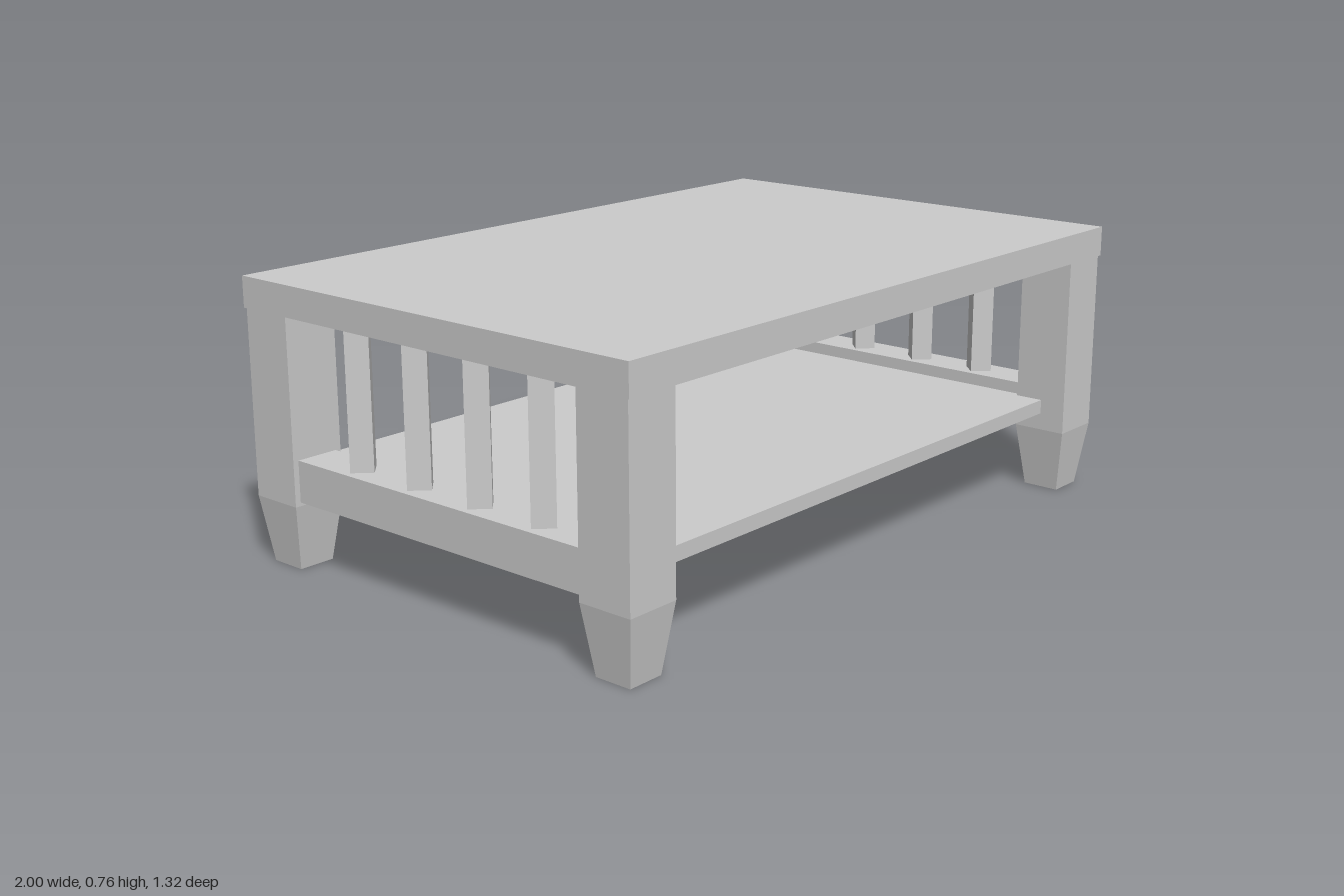
import * as THREE from 'three';

const material = new THREE.MeshStandardMaterial({ color: 0xcccccc, flatShading: true });
const TOP_UNDERSIDE = 0.68;
const LEG_X = 0.92;
const LEG_Z = 0.577;

// Box given by its size, its bottom height and its centre in x and z
function addBox(parent, name, [w, h, d], [x, bottom, z]) {
  const mesh = new THREE.Mesh(new THREE.BoxGeometry(w, h, d), material);
  mesh.name = name;
  mesh.position.set(x, bottom + h / 2, z);
  parent.add(mesh);
  return mesh;
}

// Square post whose lowest section narrows towards the foot
function legGeometry() {
  const taperY = 0.18;
  const geometry = new THREE.BoxGeometry(0.152, TOP_UNDERSIDE, 0.154, 1, 2, 1);
  geometry.translate(0, TOP_UNDERSIDE / 2, 0);
  const p = geometry.attributes.position;
  for (let i = 0; i < p.count; i++) {
    const y = p.getY(i);
    if (y < 0.01) p.setXYZ(i, p.getX(i) * 0.68, 0, p.getZ(i) * 0.68);
    else if (y < TOP_UNDERSIDE - 0.01) p.setY(i, taperY);
  }
  geometry.computeVertexNormals();
  return geometry;
}

export function createModel() {
  const table = new THREE.Group();
  table.name = 'coffeeTable';

  addBox(table, 'tableTop', [2, 0.083, 1.32], [0, TOP_UNDERSIDE, 0]);
  addBox(table, 'lowerShelf', [1.72, 0.04, 1.16], [0, 0.228, 0]);

  const leg = legGeometry();
  for (const side of [1, -1]) {
    const sideName = side > 0 ? 'left' : 'right';

    // Legs at both corners of this end
    for (const end of [1, -1]) {
      const mesh = new THREE.Mesh(leg, material);
      mesh.name = `${sideName}${end > 0 ? 'Front' : 'Back'}Leg`;
      mesh.position.set(side * LEG_X, 0, end * LEG_Z);
      table.add(mesh);
    }

    // Rail joining the two legs
    addBox(table, `${sideName}Rail`, [0.12, 0.112, 1], [side * LEG_X, 0.19, 0]);

    // Square slats set cornerwise between rail and top
    for (let i = 0; i < 4; i++) {
      const z = -0.318 + i * 0.212;
      const slat = addBox(table, `${sideName}Slat${i + 1}`, [0.06, 0.378, 0.06], [side * LEG_X, 0.302, z]);
      slat.rotation.y = Math.PI / 4;
    }
  }
  return table;
}
